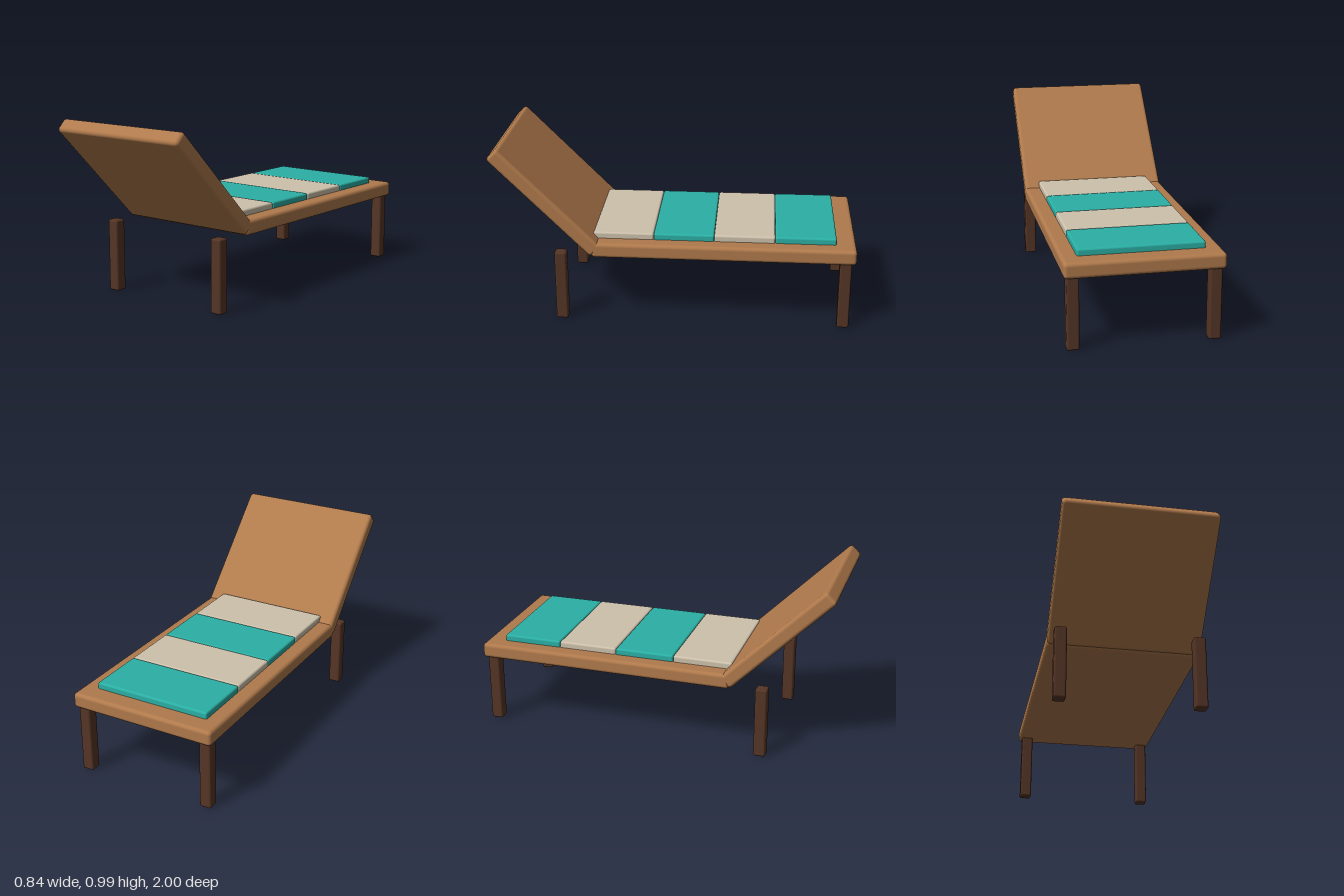
import * as THREE from 'three';
import { RoundedBoxGeometry } from 'three/addons/geometries/RoundedBoxGeometry.js';

function material(name, color) {
  const m = new THREE.MeshStandardMaterial({ color });
  m.name = name;
  return m;
}

export function createModel() {
  const wood = material('warm wood', 0xb07a4c);
  const darkWood = material('dark wood', 0x553525);
  const teal = material('teal fabric', 0x2bb0a5);
  const cream = material('cream fabric', 0xcdc1ab);

  const lounger = new THREE.Group();
  lounger.name = 'sunLounger';

  // Softened block, placed by its centre
  function block(name, mat, [w, h, d], radius, [x, y, z]) {
    const mesh = new THREE.Mesh(new RoundedBoxGeometry(w, h, d, 3, radius), mat);
    mesh.name = name;
    mesh.position.set(x, y, z);
    lounger.add(mesh);
    return mesh;
  }

  // Flat bed frame
  block('bedFrame', wood, [0.836, 0.084, 1.45], 0.02, [0, 0.428, -0.275]);

  // Reclined backrest, rising toward the front
  const backrest = block('backrest', wood, [0.836, 0.084, 0.782], 0.02, [0, 0.694, 0.701]);
  backrest.rotation.x = -Math.PI / 4;

  // Row of cushions in alternating colours
  for (let i = 0; i < 4; i++) {
    block('cushion' + (i + 1), i % 2 ? cream : teal,
      [0.668, 0.045, 0.334], 0.011, [0, 0.483, -0.725 + i * 0.3345]);
  }

  // Legs, mirrored left and right
  for (const side of [1, -1]) {
    const label = side > 0 ? 'Left' : 'Right';
    block('frontLeg' + label, darkWood, [0.066, 0.403, 0.066], 0.011, [side * 0.369, 0.2015, 0.625]);
    block('rearLeg' + label, darkWood, [0.066, 0.403, 0.066], 0.011, [side * 0.369, 0.2015, -0.944]);
  }

  return lounger;
}
